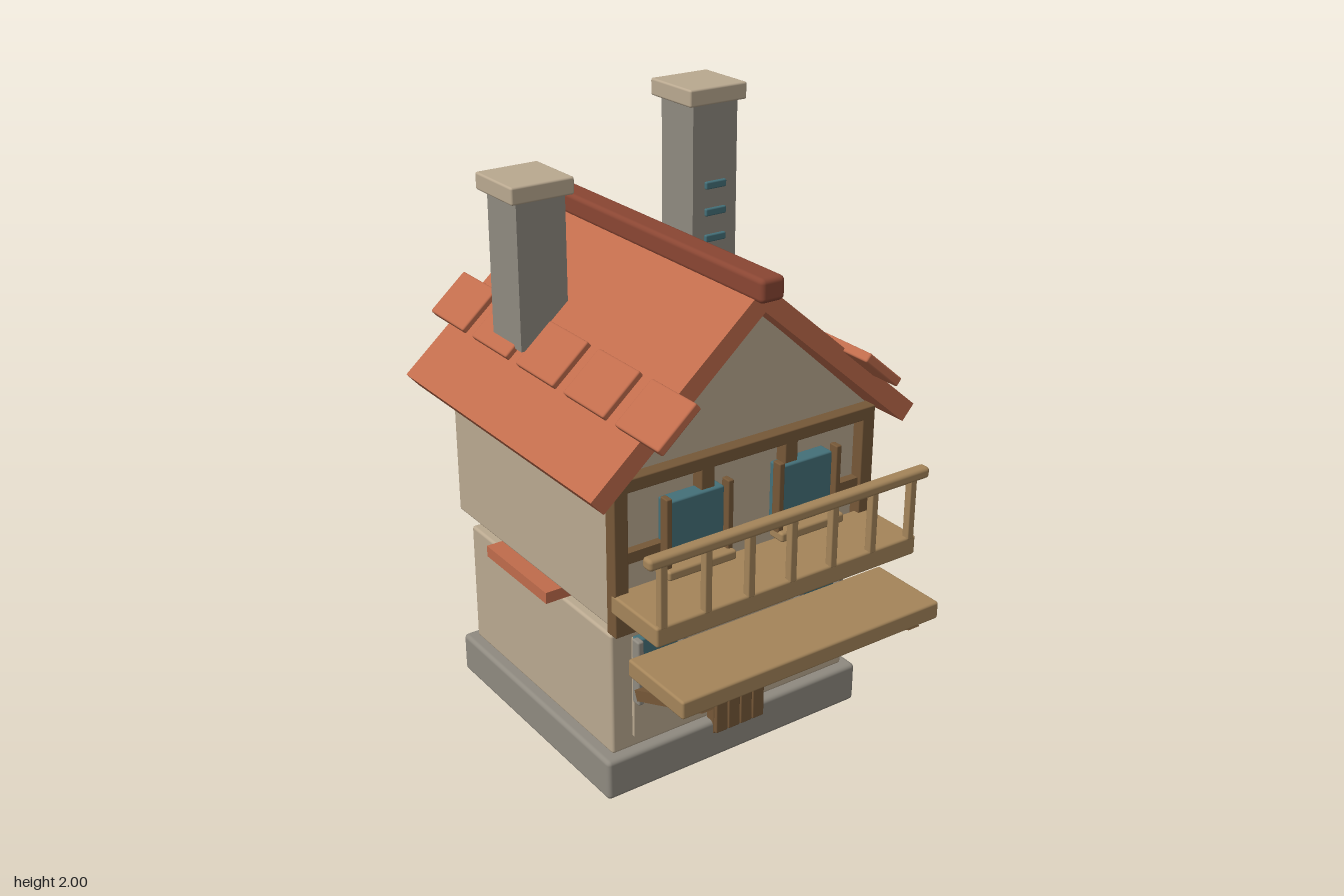
import * as THREE from 'three';
import { RoundedBoxGeometry } from 'three/addons/geometries/RoundedBoxGeometry.js';

const mat = (name, color) => Object.assign(new THREE.MeshStandardMaterial({ color }), { name });

export function createModel() {
  const house = new THREE.Group();
  house.name = 'house';
  const plaster = mat('plaster', 0xbaa990);
  const stone = mat('stone', 0x8f8a80);
  const roofRed = mat('roof red', 0xc06c4c);
  const ridgeRed = mat('ridge red', 0x8a4633);
  const wood = mat('light wood', 0xa5855a);
  const timber = mat('dark timber', 0x765838);
  const glass = mat('teal glass', 0x447079);

  // Box given by its extents, with softened edges when r > 0
  function box(name, m, [x0, x1], [y0, y1], [z0, z1], r = 0) {
    const size = [x1 - x0, y1 - y0, z1 - z0];
    const geo = r ? new RoundedBoxGeometry(...size, 2, r) : new THREE.BoxGeometry(...size);
    const mesh = new THREE.Mesh(geo, m);
    mesh.name = name;
    mesh.position.set((x0 + x1) / 2, (y0 + y1) / 2, (z0 + z1) / 2);
    house.add(mesh);
    return mesh;
  }
  // Box centred on x
  const wide = (name, m, hx, y, z, r) => box(name, m, [-hx, hx], y, z, r);
  const around = (c, w) => [c - w / 2, c + w / 2];

  // Shape in the front plane, extruded between two depths
  function extrude(name, m, points, z0, z1) {
    const shape = new THREE.Shape(points.map(([x, y]) => new THREE.Vector2(x, y)));
    const geo = new THREE.ExtrudeGeometry(shape, { depth: z1 - z0, bevelEnabled: false });
    const mesh = new THREE.Mesh(geo, m);
    mesh.name = name;
    mesh.position.z = z0;
    house.add(mesh);
  }

  // Sloping strut between two points (y, z)
  function strut(name, m, x, [ya, za], [yb, zb], w, t) {
    const len = Math.hypot(yb - ya, zb - za);
    const mesh = new THREE.Mesh(new THREE.BoxGeometry(w, t, len), m);
    mesh.name = name;
    mesh.position.set(x, (ya + yb) / 2, (za + zb) / 2);
    mesh.rotation.x = -Math.atan2(yb - ya, zb - za);
    house.add(mesh);
  }

  // Base, floors and gable
  wide('base', stone, 0.492, [0, 0.14], [-0.547, 0.372], 0.015);
  wide('lowerWalls', plaster, 0.455, [0.14, 0.565], [-0.512, 0.34], 0.01);
  wide('frontPanel', plaster, 0.382, [0.185, 0.535], [0.33, 0.352]);
  wide('floorBand', roofRed, 0.53, [0.582, 0.62], [-0.27, 0.095]);
  wide('upperWalls', plaster, 0.478, [0.62, 1.1], [-0.547, 0.37], 0.008);
  extrude('gable', plaster, [[-0.48, 1.1], [0.48, 1.1], [0, 1.535]], -0.557, 0.37);

  // Roof slopes, ridge and raised tiles
  const slope = Math.atan2(0.51, 0.59);
  for (const s of [-1, 1]) {
    const pts = [[0, 1.61], [0, 1.53], [0.55, 1.052], [0.592, 1.1]].map(([x, y]) => [s * x, y]);
    extrude('roofSlope', roofRed, pts, -0.645, 0.465);
    for (let i = 0; i < 5; i++) {
      const tile = box('roofTile', roofRed, around(s * 0.367, 0.17), around(1.3, 0.03),
        around(0.46 - i * 0.275, 0.216), 0.006);
      tile.rotation.z = -s * slope;
    }
  }
  wide('ridge', ridgeRed, 0.043, [1.568, 1.642], [-0.68, 0.5], 0.016);

  // Chimneys: one tall, one short
  for (const [x, top] of [[0.32, 2], [-0.32, 1.8]]) {
    box('chimney', stone, around(x, 0.17), [1.275, top - 0.04], around(-0.303, 0.172));
    box('chimneyCap', plaster, around(x, 0.218), [top - 0.055, top], around(-0.308, 0.218), 0.007);
  }
  for (const y of [1.51, 1.597, 1.685])
    box('chimneyVent', glass, around(0.32, 0.08), around(y, 0.025), [-0.22, -0.206], 0.005);

  // Timber frame on the upper front
  const frameZ = [0.365, 0.412];
  for (const x of [-0.459, -0.155, 0.155, 0.459])
    box('framePost', timber, around(x, 0.048), [0.602, 1.103], frameZ, 0.004);
  wide('frameTopBeam', timber, 0.483, [1.062, 1.104], frameZ, 0.004);
  wide('frameBottomBeam', timber, 0.483, [0.6, 0.642], frameZ, 0.004);

  for (const s of [-1, 1]) {
    box('frameRail', timber, around(s * 0.307, 0.3), around(0.845, 0.036), [0.365, 0.4]);

    // Upper window with side frames and sill
    box('upperWindow', glass, around(s * 0.205, 0.2), [0.795, 1], [0.37, 0.425], 0.006);
    for (const dx of [-0.11, 0.11])
      box('upperWindowFrame', timber, around(s * 0.205 + dx, 0.02), [0.785, 1.022], [0.41, 0.445], 0.004);
    box('upperWindowSill', wood, around(s * 0.207, 0.245), [0.765, 0.797], [0.4, 0.465], 0.008);

    // Lower window with grey side frames
    box('lowerWindow', glass, around(s * 0.305, 0.15), [0.342, 0.54], [0.34, 0.375], 0.006);
    for (const x of [0.226, 0.386])
      box('lowerWindowFrame', stone, around(s * x, 0.022), [0.327, 0.55], [0.365, 0.4], 0.006);

    // Supports under the balcony and the awning
    strut('balconyBracket', timber, s * 0.382, [0.625, 0.385], [0.685, 0.48], 0.04, 0.035);
    strut('awningStrut', timber, s * 0.39, [0.375, 0.405], [0.515, 0.735], 0.042, 0.035);
  }

  // Balcony floor, balusters and handrail
  wide('balconyFloor', wood, 0.484, [0.677, 0.742], [0.387, 0.625], 0.008);
  for (let i = -3; i <= 3; i++)
    box('baluster', wood, around(i * 0.1535, 0.025), [0.735, 0.94], around(0.615, 0.026), 0.004);
  wide('handrail', wood, 0.515, [0.935, 0.972], [0.597, 0.638], 0.012);

  // Awning board
  wide('awning', wood, 0.482, [0.506, 0.565], [0.472, 0.748], 0.008);

  // Plank door
  wide('door', timber, 0.098, [0.093, 0.446], [0.335, 0.375], 0.006);
  for (let i = 0; i < 4; i++)
    box('doorPlank', timber, around((i - 1.5) * 0.048, 0.045), [0.1, 0.44], [0.37, 0.387], 0.004);

  return house;
}
